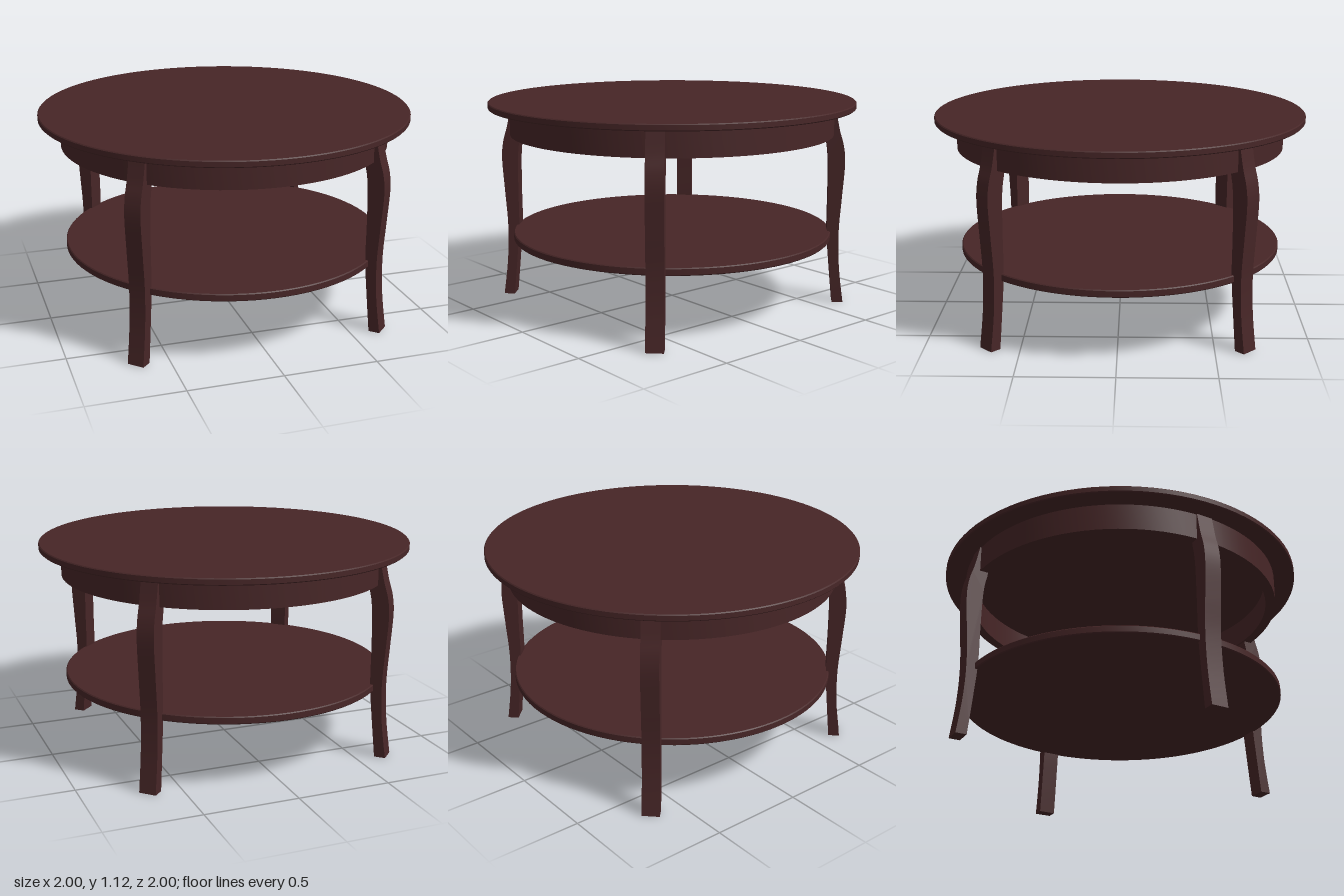
import * as THREE from 'three';
import { toCreasedNormals } from 'three/addons/utils/BufferGeometryUtils.js';

const v = (x, y) => new THREE.Vector2(x, y);

export function createModel() {
  const table = new THREE.Group();
  table.name = 'roundTable';
  const wood = new THREE.MeshStandardMaterial({ color: 0x472627 });
  wood.name = 'dark mahogany';

  const add = (name, geometry, crease = 0.4) => {
    const mesh = new THREE.Mesh(toCreasedNormals(geometry, crease), wood);
    mesh.name = name;
    table.add(mesh);
    return mesh;
  };

  // Round board with slightly softened edges
  const board = (r, y0, y1, c = 0.005) => new THREE.LatheGeometry([
    v(0, y0), v(r - c, y0), v(r, y0 + c), v(r, y1 - c), v(r - c, y1), v(0, y1),
  ], 96);

  add('tableTop', board(1, 1.09, 1.125));
  add('lowerShelf', board(0.88, 0.366, 0.406));

  // Hollow apron ring under the top
  add('apron', new THREE.LatheGeometry([
    v(0.83, 0.945), v(0.885, 0.945), v(0.885, 1.092), v(0.83, 1.092), v(0.83, 0.945),
  ], 96));

  // Curved leg: outer and inner outlines as [radius, height]
  const outer = new THREE.SplineCurve([
    v(0.96, 0), v(0.934, 0.2), v(0.926, 0.4), v(0.938, 0.6),
    v(0.949, 0.78), v(0.94, 0.88), v(0.915, 0.97), v(0.89, 1.092),
  ]).getPoints(36);
  const inner = new THREE.SplineCurve([
    v(0.835, 1.092), v(0.837, 0.95), v(0.851, 0.87), v(0.859, 0.78),
    v(0.862, 0.6), v(0.863, 0.4), v(0.88, 0.2), v(0.9, 0),
  ]).getPoints(36);
  const width = 0.092;
  const legGeometry = new THREE.ExtrudeGeometry(new THREE.Shape([...outer, ...inner]), {
    depth: width, bevelEnabled: false,
  });
  legGeometry.translate(0, 0, -width / 2);

  // Four legs on the diagonals
  ['backLeftLeg', 'backRightLeg', 'frontRightLeg', 'frontLeftLeg'].forEach((name, i) => {
    add(name, legGeometry).rotation.y = Math.PI / 4 + i * Math.PI / 2;
  });

  return table;
}
